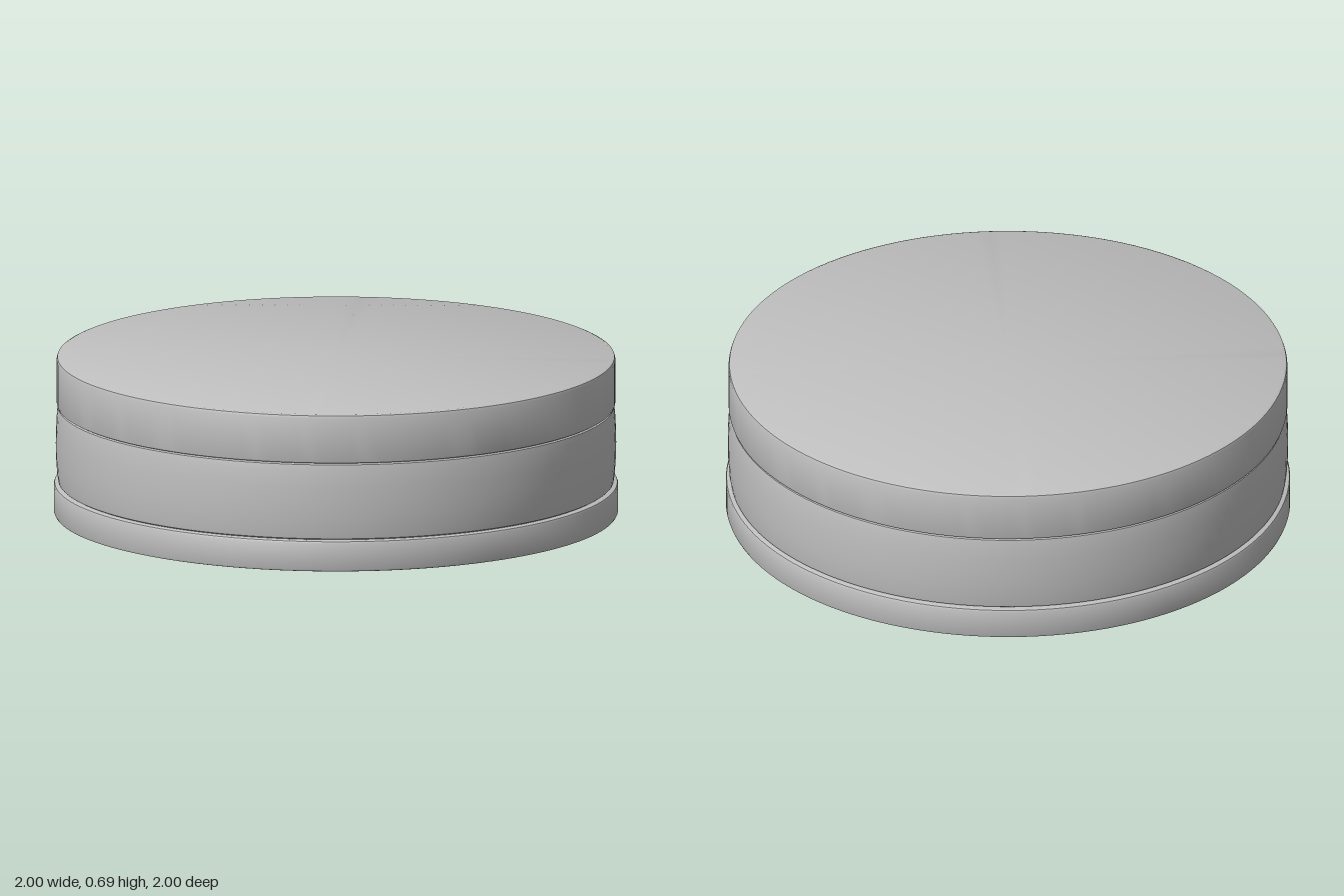
import * as THREE from 'three';
import { toCreasedNormals } from 'three/addons/utils/BufferGeometryUtils.js';

const grey = new THREE.MeshStandardMaterial({ color: 0xbfbfbf });
grey.name = 'grey metal';

// Turned part: profile of [radius, height] running from the bottom outwards and up
function turned(name, profile, segments = 128) {
  const points = profile.map(([r, y]) => new THREE.Vector2(r, y));
  const geometry = toCreasedNormals(new THREE.LatheGeometry(points, segments), 0.7);
  const mesh = new THREE.Mesh(geometry, grey);
  mesh.name = name;
  return mesh;
}

export function createModel() {
  const group = new THREE.Group();
  group.name = 'roundHousing';

  // Base flange with a shallow recess on the underside
  group.add(turned('baseFlange', [
    [0, 0.125], [0.863, 0.125], [0.863, 0.118], [0.99, 0.118], [0.997, 0.12],
    [1, 0.127], [1, 0.22], [0.997, 0.227], [0.99, 0.23], [0, 0.23],
  ]));

  // Slightly bulging middle band
  group.add(turned('middleBand', [
    [0.975, 0.23], [0.984, 0.235], [0.988, 0.26], [0.992, 0.32], [0.993, 0.37],
    [0.992, 0.42], [0.989, 0.48], [0.985, 0.503], [0.975, 0.508],
  ]));

  // Lid with softened edges
  group.add(turned('lid', [
    [0, 0.508], [0.982, 0.508], [0.988, 0.511], [0.99, 0.518],
    [0.99, 0.672], [0.987, 0.681], [0.978, 0.685], [0, 0.685],
  ]));

  // Stepped boss under the base
  group.add(turned('boss', [
    [0, 0.068], [0.073, 0.068], [0.076, 0.071], [0.076, 0.079], [0.105, 0.081],
    [0.108, 0.09], [0.142, 0.094], [0.15, 0.1], [0.15, 0.126],
  ], 64));

  // Short shaft with a small chamfer at the tip
  group.add(turned('shaft', [
    [0, 0], [0.05, 0], [0.054, 0.005], [0.054, 0.07],
  ], 48));

  return group;
}
